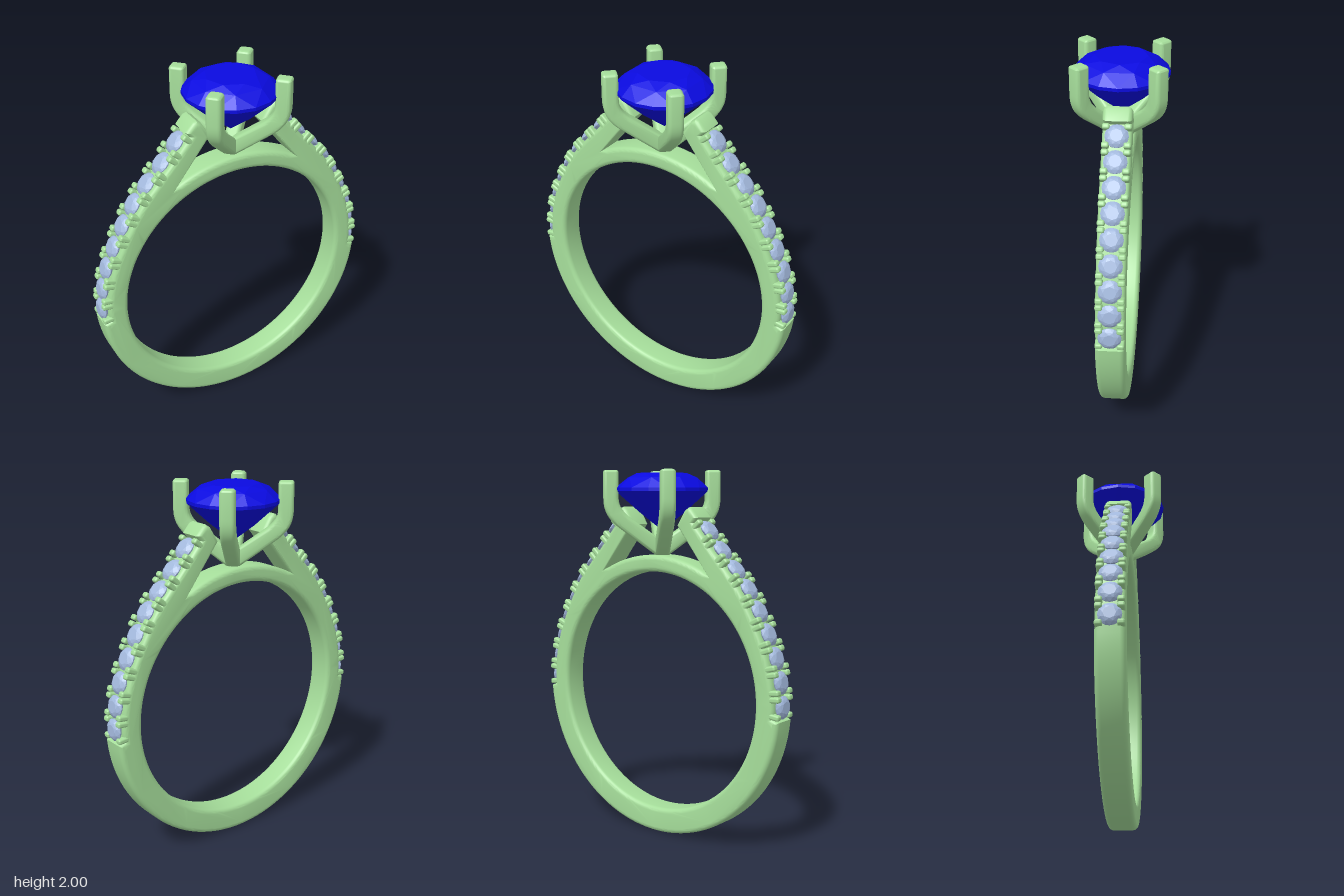
import * as THREE from 'three';
import { toCreasedNormals } from 'three/addons/utils/BufferGeometryUtils.js';
import { RoundedBoxGeometry } from 'three/addons/geometries/RoundedBoxGeometry.js';
import { ConvexGeometry } from 'three/addons/geometries/ConvexGeometry.js';

const V2 = (x, y) => new THREE.Vector2(x, y);
const metal = new THREE.MeshStandardMaterial({ color: 0xa5dd9a });
const blue = new THREE.MeshStandardMaterial({ color: 0x0a0ae0 });
const paleBlue = new THREE.MeshStandardMaterial({ color: 0xa3b9dd });

// Outer edge of the right shoulder, from the band's waist to its tip
const shoulder = new THREE.SplineCurve([
  [0.798, 0.74], [0.803, 0.81], [0.79, 0.94], [0.757, 1.07], [0.705, 1.195], [0.645, 1.31],
  [0.577, 1.42], [0.492, 1.52], [0.405, 1.615], [0.325, 1.71], [0.245, 1.8],
].map(([x, y]) => V2(x, y)));
const LENGTH = shoulder.getLength();
const FIRST = 0.07, STEP = 0.129, COUNT = 9;

// Point on the shoulder at distance s, pushed in by a depth, with its outward normal
function onShoulder(s, depth = 0) {
  const u = THREE.MathUtils.clamp(s / LENGTH, 0, 1);
  const t = shoulder.getTangentAt(u);
  const normal = V2(t.y, -t.x);
  return { point: shoulder.getPointAt(u).addScaledVector(normal, -depth), normal };
}

function arc(radius, from, to, n) {
  return Array.from({ length: n + 1 }, (_, i) => {
    const a = from + (to - from) * i / n;
    return V2(radius * Math.cos(a), 0.8 + radius * Math.sin(a));
  });
}

// Extrusion centred on z = 0, rounded within its outline
function roundedExtrude(shape, width, bevel) {
  const g = new THREE.ExtrudeGeometry(shape, {
    depth: width - 2 * bevel, bevelEnabled: true, bevelSize: bevel, bevelThickness: bevel,
    bevelOffset: -bevel, bevelSegments: 5, curveSegments: 96,
  });
  g.translate(0, 0, -width / 2 + bevel);
  return toCreasedNormals(g, 0.6);
}

// Brilliant-cut stone of radius 1 with its girdle at y = 0
function gemGeometry() {
  const pts = [new THREE.Vector3(0, -0.88, 0)];
  const ring = (n, r, y, turn) => {
    for (let i = 0; i < n; i++) {
      const a = (i + turn) / n * Math.PI * 2;
      pts.push(new THREE.Vector3(r * Math.cos(a), y, r * Math.sin(a)));
    }
  };
  ring(8, 0.54, 0.34, 0);
  ring(8, 0.78, 0.24, 0.5);
  ring(16, 1, 0.03, 0);
  ring(16, 1, -0.04, 0);
  ring(8, 0.5, -0.5, 0.5);
  return new ConvexGeometry(pts);
}

// Band, bridge and split shoulders in one outline, sunk where the stones sit
function bandGeometry() {
  const end = FIRST + STEP * (COUNT - 0.5);
  const half = [onShoulder(0).point];
  for (let i = 0; i <= 40; i++) half.push(onShoulder(0.01 + (end - 0.01) * i / 40, 0.035).point);
  half.push(onShoulder(end + 0.005).point, V2(0.245, 1.8), V2(0.225, 1.806), V2(0.2, 1.79), V2(0.15, 1.71));
  const join = Math.acos(0.35 / 0.75);
  const outline = [
    ...half,
    ...arc(0.75, join, Math.PI - join, 40),
    ...half.map((p) => V2(-p.x, p.y)).reverse(),
    ...arc(0.8, Math.PI + 0.085, 2 * Math.PI - 0.085, 90),
  ];
  const shape = new THREE.Shape(outline);
  shape.holes.push(new THREE.Path().absarc(0, 0.8, 0.66, 0, Math.PI * 2, true));
  return roundedExtrude(shape, 0.15, 0.026);
}

// Claw profile: upright at the stone, sweeping in to the centre below it
function clawGeometry() {
  const s = new THREE.Shape();
  s.moveTo(0, 1.535);
  s.lineTo(0.025, 1.54);
  s.lineTo(0.22, 1.685);
  s.bezierCurveTo(0.28, 1.73, 0.315, 1.77, 0.315, 1.85);
  s.lineTo(0.315, 1.985);
  s.quadraticCurveTo(0.315, 2, 0.3, 2);
  s.lineTo(0.25, 2);
  s.quadraticCurveTo(0.235, 2, 0.235, 1.985);
  s.lineTo(0.235, 1.86);
  s.bezierCurveTo(0.235, 1.81, 0.215, 1.785, 0.18, 1.755);
  s.lineTo(0, 1.625);
  const g = new THREE.ExtrudeGeometry(s, {
    depth: 0.04, bevelEnabled: true, bevelSize: 0.02, bevelThickness: 0.02,
    bevelOffset: -0.02, bevelSegments: 5, curveSegments: 14,
  });
  g.translate(0, 0, -0.02);
  return toCreasedNormals(g, 0.6);
}

export function createModel() {
  const ring = new THREE.Group();
  ring.name = 'ring';
  const add = (parent, name, geometry, material) => {
    const m = new THREE.Mesh(geometry, material);
    m.name = name;
    parent.add(m);
    return m;
  };

  add(ring, 'band', bandGeometry(), metal);

  // Centre stone in four claws
  const gem = gemGeometry();
  const centre = add(ring, 'centreStone', gem, blue);
  centre.scale.setScalar(0.25);
  centre.position.y = 1.9;
  const claw = clawGeometry();
  for (let i = 0; i < 4; i++) {
    add(ring, 'claw', claw, metal).rotation.y = Math.PI / 4 + i * Math.PI / 2;
  }

  // Rows of small stones with pairs of tiny prongs between them
  const prong = new RoundedBoxGeometry(0.03, 0.07, 0.038, 3, 0.011);
  const up = new THREE.Vector3(0, 1, 0);
  for (const side of [1, -1]) {
    const row = new THREE.Group();
    row.name = side > 0 ? 'leftStoneRow' : 'rightStoneRow';
    ring.add(row);
    const place = (mesh, s, depth, z) => {
      const { point, normal } = onShoulder(s, depth);
      mesh.position.set(side * point.x, point.y, z);
      mesh.quaternion.setFromUnitVectors(up, new THREE.Vector3(side * normal.x, normal.y, 0));
    };
    for (let i = 0; i < COUNT; i++) {
      const s = FIRST + STEP * i;
      const stone = add(row, 'smallStone', gem, paleBlue);
      stone.scale.setScalar(0.06);
      place(stone, s, 0.018, 0);
      for (const d of [-0.047, 0.047]) {
        for (const z of [-0.055, 0.055]) place(add(row, 'stoneProng', prong, metal), s + d, 0.033, z);
      }
    }
  }
  return ring;
}
